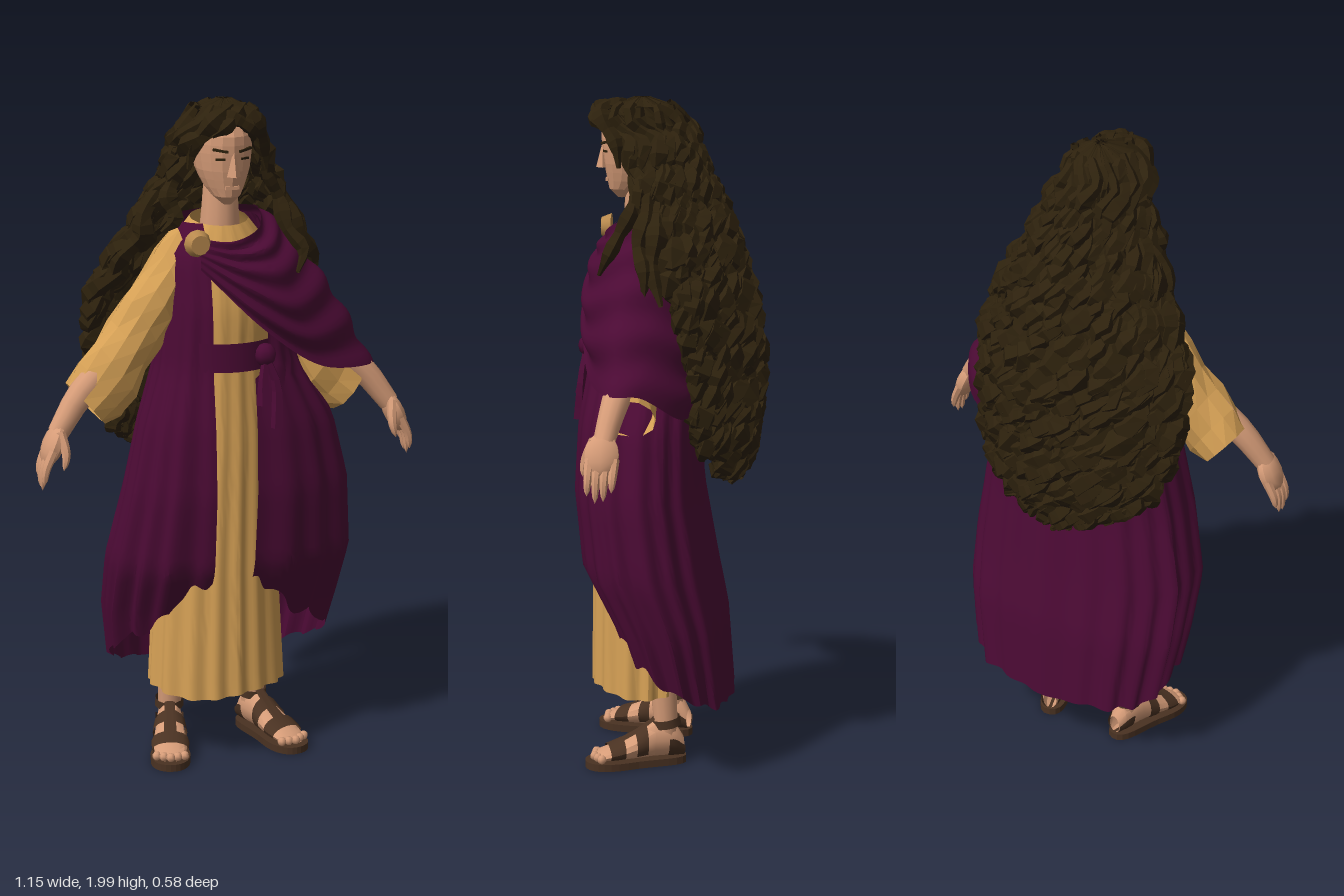
import * as THREE from 'three';
import { mergeGeometries, toCreasedNormals } from 'three/addons/utils/BufferGeometryUtils.js';

const V = (x, y, z) => new THREE.Vector3(x, y, z);
const vecs = (list) => list.map((p) => V(...p));
const { sin, cos, PI, abs, pow, sign, min, max } = Math;

function seeded(seed) {
  return () => ((seed = (seed * 16807) % 2147483647) / 2147483647);
}

// Linear lookup in a table of rows sorted by their first column
function rowAt(rows, k) {
  let i = 0;
  while (i < rows.length - 2 && k > rows[i + 1][0]) i++;
  const a = rows[i], b = rows[i + 1];
  const t = min(1, max(0, (k - a[0]) / (b[0] - a[0])));
  return a.map((v, j) => v + (b[j] - v) * t);
}

// Grid surface from a rule, optionally pushed along its normals to make folds
function sheet(fn, nu, nv, fold) {
  const pos = [], idx = [];
  for (let j = 0; j <= nv; j++) for (let i = 0; i <= nu; i++) pos.push(...fn(i / nu, j / nv).toArray());
  for (let j = 0; j < nv; j++) for (let i = 0; i < nu; i++) {
    const a = j * (nu + 1) + i, b = a + nu + 1;
    idx.push(a, b, a + 1, b, b + 1, a + 1);
  }
  const g = new THREE.BufferGeometry();
  g.setAttribute('position', new THREE.Float32BufferAttribute(pos, 3));
  g.setIndex(idx);
  g.computeVertexNormals();
  if (fold) {
    const p = g.attributes.position, n = g.attributes.normal;
    for (let k = 0; k < p.count; k++) {
      const d = fold((k % (nu + 1)) / nu, Math.floor(k / (nu + 1)) / nv);
      p.setXYZ(k, p.getX(k) + n.getX(k) * d, p.getY(k) + n.getY(k) * d, p.getZ(k) + n.getZ(k) * d);
    }
  }
  return g;
}

// Tube of varying radius through points
function tube(points, radius, n = 10, sides = 8) {
  const curve = new THREE.CatmullRomCurve3(points);
  const pts = curve.getSpacedPoints(n), f = curve.computeFrenetFrames(n);
  return sheet((u, v) => {
    const i = Math.round(v * n), a = -u * 2 * PI, r = radius(v);
    return pts[i].clone().addScaledVector(f.normals[i], r * cos(a)).addScaledVector(f.binormals[i], r * sin(a));
  }, sides, n);
}

function flat(g) {
  const out = g.index ? g.toNonIndexed() : g;
  out.computeVertexNormals();
  return out;
}
const smooth = (g) => toCreasedNormals(g, 0.6);
const tip = (r) => (t) => r * Math.sqrt(max(0, 1 - pow(t, 4))) * (1 - 0.25 * t);

export function createModel() {
  const model = new THREE.Group();
  model.name = 'robedFigure';
  const mat = (name, color) => Object.assign(new THREE.MeshStandardMaterial({ color, side: THREE.DoubleSide }), { name });
  const skin = mat('skin', 0xd69c78), tan = mat('ochreCloth', 0xd5a055), purple = mat('purpleCloth', 0x4b0a34);
  const hairMat = mat('darkHair', 0x2d210d), gold = mat('gold', 0xb98a4e), leather = mat('leather', 0x4a3222);
  const add = (name, g, m, parent = model) => {
    const mesh = new THREE.Mesh(g, m);
    mesh.name = name;
    parent.add(mesh);
    return mesh;
  };

  // Head: y, half width, back z, front z
  const headRows = [[1.695, 0.012, 0.13, 0.155], [1.71, 0.034, 0.1, 0.178], [1.75, 0.06, 0.03, 0.186], [1.79, 0.076, 0, 0.194],
    [1.84, 0.084, -0.02, 0.2], [1.89, 0.084, -0.02, 0.204], [1.94, 0.066, 0, 0.18], [1.97, 0.02, 0.06, 0.12]];
  add('head', flat(sheet((u, v) => {
    const [y, rx, zb, zf] = rowAt(headRows, 1.695 + v * 0.275), a = u * 2 * PI;
    return V(rx * sin(a), y, (zb + zf) / 2 + (zf - zb) / 2 * cos(a));
  }, 16, 11)), skin);
  add('nose', flat(new THREE.ConeGeometry(0.021, 0.08, 4, 1)), skin).position.set(0, 1.822, 0.198);
  add('mouth', new THREE.BoxGeometry(0.042, 0.01, 0.008), skin).position.set(0, 1.748, 0.185);
  for (const s of [-1, 1]) {
    const brow = add('brow', new THREE.BoxGeometry(0.045, 0.007, 0.009), hairMat);
    brow.position.set(s * 0.037, 1.857, 0.19);
    brow.rotation.set(0, s * 0.4, s * 0.15);
    const eye = add('eye', new THREE.BoxGeometry(0.028, 0.006, 0.006), hairMat);
    eye.position.set(s * 0.036, 1.832, 0.188);
    eye.rotation.y = s * 0.4;
  }
  add('neck', smooth(tube(vecs([[0, 1.56, 0.075], [0, 1.66, 0.08], [0, 1.76, 0.08]]), (t) => 0.064 - 0.016 * t, 6, 12)), skin);

  // Tunic: y, centre x, half width, centre z, half depth
  const tunicRows = [[0.21, -0.01, 0.205, 0.075, 0.16], [0.6, -0.01, 0.185, 0.07, 0.16], [1, 0, 0.165, 0.07, 0.15],
    [1.27, 0, 0.145, 0.07, 0.138], [1.4, 0, 0.16, 0.07, 0.145], [1.55, 0, 0.15, 0.065, 0.125],
    [1.61, 0, 0.118, 0.065, 0.1], [1.645, 0, 0.085, 0.07, 0.08]];
  add('tunic', smooth(sheet((u, v) => {
    const a = u * 2 * PI, y0 = 0.215 + v * 1.43;
    const [, cx, rx, cz, rz] = rowAt(tunicRows, y0);
    const k = 1 + (0.008 + 0.03 * (1 - v)) * sin(a * 16 + sin(a * 3));
    const y = y0 + 0.008 * sin(3 * a) * (1 - v) - 0.012 * cos(a) * pow(v, 8);
    return V(cx + rx * k * sin(a), y, cz + rz * k * cos(a));
  }, 128, 26)), tan);

  // Cloak hanging from the shoulders, open at the front; below the knee it draws back around the tunic
  const cloakRows = [[0.2, 0.03, 0.325, -0.06, 0.135], [0.45, 0.035, 0.365, -0.008, 0.168], [0.62, 0.04, 0.372, 0.052, 0.195],
    [0.85, 0.052, 0.338, 0.083, 0.187], [1.05, 0.048, 0.292, 0.083, 0.178], [1.22, 0.02, 0.21, 0.07, 0.167],
    [1.4, 0, 0.175, 0.07, 0.16], [1.55, 0, 0.165, 0.065, 0.135], [1.64, 0, 0.12, 0.05, 0.095]];
  const hemRows = [[0, 0.2], [0.3, 0.225], [0.5, 0.28], [0.7, 0.37], [0.85, 0.43], [1, 0.55]];
  const soft = (s) => sign(s) * pow(abs(s), 0.85);
  add('cloak', smooth(sheet((u, v) => {
    const w = 2 * u - 1;
    const hem = rowAt(hemRows, abs(w))[1] + 0.024 * abs(w) * sin(w * 42);
    const y = 1.64 + (hem - 1.64) * v;
    const [, cx, rx, cz, rz] = rowAt(cloakRows, y);
    const edge = w < 0 ? 0.07 + cx : max(0, (y > 1.2 ? 0.1 : 0.055) - cx);
    const a = w * (PI - Math.asin(pow(min(0.9, edge / rx), 1 / 0.85)));
    const k = 1 + (0.008 + 0.036 * v) * (0.7 * sin(w * 56) + 0.45 * sin(w * 29 + 1));
    return V(cx + rx * k * soft(sin(a)), y, cz - rz * k * soft(cos(a)));
  }, 150, 30)), purple);

  // Mantle gathered at the brooch, crossing the chest and covering the left arm and the back
  const guides = [
    [[-0.11, 1.61, 0.17], [0, 1.59, 0.185], [0.09, 1.62, 0.155], [0.12, 1.67, 0.07], [0.11, 1.67, 0.02], [0.06, 1.66, -0.03], [-0.1, 1.64, -0.04]],
    [[-0.105, 1.58, 0.19], [0.02, 1.54, 0.22], [0.14, 1.53, 0.2], [0.22, 1.57, 0.09], [0.21, 1.57, 0.02], [0.15, 1.5, -0.07], [-0.12, 1.5, -0.08]],
    [[-0.1, 1.55, 0.2], [0.05, 1.45, 0.243], [0.2, 1.37, 0.23], [0.345, 1.4, 0.12], [0.34, 1.38, 0.02], [0.24, 1.3, -0.09], [-0.1, 1.35, -0.09]],
    [[-0.1, 1.52, 0.205], [0.08, 1.34, 0.247], [0.27, 1.21, 0.21], [0.465, 1.18, 0.125], [0.46, 1.18, 0.05], [0.36, 1.1, -0.07], [-0.05, 1.15, -0.1]],
  ].map((g) => new THREE.CatmullRomCurve3(vecs(g)));
  add('mantle', smooth(sheet((u, v) => new THREE.CatmullRomCurve3(guides.map((g) => g.getPoint(u))).getPoint(v),
    48, 36, (u, v) => 0.008 * sin(v * 30 + u * 7) * sin(PI * min(1, u * 4 + 0.1) / 2))), purple);

  // Brooch, belt and its knot
  const disc = add('brooch', new THREE.CylinderGeometry(0.028, 0.04, 0.03, 12), gold);
  disc.rotation.x = PI / 2;
  disc.position.set(-0.105, 1.595, 0.2);
  const belt = add('belt', smooth(sheet((u, v) => V(0.175 * sin(u * 2 * PI), 1.222 + 0.085 * v, 0.07 + 0.175 * cos(u * 2 * PI)), 40, 4)), purple);
  add('beltKnot', new THREE.SphereGeometry(0.034, 8, 6), purple, belt).position.set(0.085, 1.265, 0.232);
  for (const [x, y] of [[0.075, 1.12], [0.115, 1.05]]) {
    add('beltTail', flat(tube(vecs([[0.085, 1.26, 0.24], [x, 1.18, 0.25], [x, y, 0.258]]), (t) => 0.01 + 0.012 * t, 6, 5)), purple, belt);
  }

  // Sleeves and arms, built on the right (-x) and mirrored
  const sleeveRows = [[0, -0.13, 1.63, -0.1, 1.42, 0.06, 0.08], [0.28, -0.23, 1.5, -0.15, 1.33, 0.065, 0.08],
    [0.58, -0.335, 1.36, -0.23, 1.2, 0.075, 0.08], [0.8, -0.41, 1.27, -0.29, 1.09, 0.085, 0.083], [1, -0.47, 1.19, -0.36, 1.06, 0.09, 0.075]];
  for (const s of [1, -1]) {
    const arm = new THREE.Group();
    arm.name = s > 0 ? 'rightArm' : 'leftArm';
    model.add(arm);
    const put = (name, g, m) => add(name, s < 0 ? mirrored(g) : g, m, arm);
    const sleeve = put('sleeve', flat(sheet((u, v) => {
      const [, ux, uy, lx, ly, cz, dz] = rowAt(sleeveRows, v), a = u * 2 * PI;
      return V((ux + lx) / 2 + (ux - lx) / 2 * cos(a), (uy + ly) / 2 + (uy - ly) / 2 * cos(a), cz + dz * sin(a));
    }, 12, 7, (u, v) => 0.006 * sin(v * 17 + sin(u * 2 * PI) * 3))), tan);
    if (s < 0) sleeve.position.set(-0.025, -0.02, 0);
    put('forearm', smooth(tube(vecs([[-0.33, 1.25, 0.09], [-0.44, 1.16, 0.12], [-0.515, 1.06, 0.145]]), (t) => 0.05 - 0.019 * t, 6, 12)), skin);
    const palm = new THREE.SphereGeometry(1, 10, 8);
    palm.scale(0.03, 0.065, 0.05).rotateZ(-0.4).translate(-0.53, 1.03, 0.148);
    put('palm', smooth(palm), skin);
    for (let i = 0; i < 4; i++) {
      const z = 0.112 + i * 0.023, drop = [0.93, 0.905, 0.9, 0.92][i];
      put('finger', smooth(tube(vecs([[-0.537, 1.02, z], [-0.562, 0.965, z + 0.004], [-0.568, drop, z + 0.006]]), tip(0.015), 7, 7)), skin);
    }
    put('thumb', smooth(tube(vecs([[-0.515, 1.07, 0.17], [-0.505, 1.01, 0.198], [-0.515, 0.965, 0.205]]), tip(0.016), 7, 7)), skin);
  }

  // Legs and sandalled feet: z, half width, top height
  const footRows = [[-0.05, 0.022, 0.08], [-0.02, 0.036, 0.13], [0.04, 0.04, 0.135], [0.09, 0.046, 0.1], [0.15, 0.052, 0.07], [0.205, 0.046, 0.05], [0.225, 0.022, 0.035]];
  const footPoint = (a, z, out) => {
    const [, w, h] = rowAt(footRows, z);
    return V((w + out) * sin(a), 0.02 + (h + out - 0.02) * (0.5 + 0.5 * cos(a)), z);
  };
  const outline = new THREE.Shape();
  outline.moveTo(0, -0.06).bezierCurveTo(0.06, -0.06, 0.034, 0.04, 0.056, 0.13).bezierCurveTo(0.072, 0.21, 0.042, 0.25, 0, 0.25);
  outline.bezierCurveTo(-0.042, 0.25, -0.072, 0.21, -0.056, 0.13).bezierCurveTo(-0.034, 0.04, -0.06, -0.06, 0, -0.06);
  for (const s of [-1, 1]) {
    add('leg', smooth(tube(vecs([[s * 0.135, 0.07, 0], [s * 0.135, 0.2, 0.008], [s * 0.12, 0.6, 0.04]]), (t) => 0.034 + 0.018 * t, 8, 12)), skin);
    const foot = new THREE.Group();
    foot.name = s < 0 ? 'rightFoot' : 'leftFoot';
    foot.position.x = s * 0.135;
    foot.rotation.y = s * 0.3;
    model.add(foot);
    const base = new THREE.ExtrudeGeometry(outline, { depth: 0.022, bevelEnabled: false, curveSegments: 8 });
    add('sole', base.rotateX(PI / 2).translate(0, 0.022, 0), leather, foot);
    add('foot', smooth(sheet((u, v) => footPoint(u * 2 * PI, -0.05 + 0.275 * v, 0), 12, 12)), skin, foot);
    for (let i = 0; i < 5; i++) {
      const toe = add('toe', new THREE.SphereGeometry(0.014, 7, 5), skin, foot);
      toe.position.set((i - 2) * 0.021, 0.034, 0.222 - abs(i - 2) * 0.007);
    }
    // Straps: two across the foot, one along the instep, the heel cup and the ankle band
    for (const [z0, z1, a0, a1] of [[0.135, 0.18, -2.3, 2.3], [0.065, 0.1, -2.3, 2.3], [0.04, 0.15, -0.35, 0.35], [-0.052, 0, 1.5, 2 * PI - 1.5]]) {
      add('strap', smooth(sheet((u, v) => footPoint(a0 + (a1 - a0) * u, z0 + (z1 - z0) * v, 0.006), 12, 4)), leather, foot);
    }
    const ankle = new THREE.CylinderGeometry(0.043, 0.045, 0.026, 14, 1, true);
    add('ankleStrap', ankle.rotateX(0.15).translate(0, 0.128, 0.002), leather, foot);
  }

  // Hair volume: y, centre x, half width, centre z, half depth, half sweep angle
  const hairRows = [[0.86, 0, 0.17, -0.1, 0.09, 1.5], [1, 0, 0.26, -0.1, 0.13, 1.6], [1.2, -0.02, 0.3, -0.1, 0.15, 1.7],
    [1.4, -0.02, 0.318, -0.07, 0.15, 1.75], [1.55, 0, 0.26, -0.03, 0.15, 1.8], [1.65, 0, 0.2, 0, 0.15, 1.9], [1.75, 0.01, 0.155, 0.04, 0.145, 1.95],
    [1.85, 0, 0.12, 0.06, 0.13, 2], [1.92, -0.005, 0.095, 0.08, 0.125, 2.5], [1.965, 0.005, 0.075, 0.08, 0.1, 3.1], [1.992, 0.015, 0.01, 0.08, 0.01, 3.14]];
  // Round at the head, narrowing to a ridge down the middle of the back
  const hairPoint = (w, y, out) => {
    const [, cx, rx, cz, rz, sweep] = rowAt(hairRows, y);
    const c = cos(w * sweep), ridge = 1 + 0.7 * min(1, max(0, (1.75 - y) * 4));
    return V(cx + (rx + out) * sin(w * sweep), y, cz - (rz + out) * (c > 0 ? pow(c, ridge) : c));
  };
  const bottom = (w) => 0.87 + 0.17 * w * w;
  const locks = [sheet((u, v) => {
    const w = 2 * u - 1;
    return hairPoint(w, 1.99 + (bottom(w) + 0.03 - 1.99) * v, 0.008 * sin(w * 31 + 4 * sin(v * 30)));
  }, 50, 40)];

  // Overlapping tiers of chunky wavy locks
  const rnd = seeded(77), curl = (r) => (t) => r * pow(sin(PI * (0.1 + 0.87 * t)), 0.6) * (1 + 0.2 * sin(t * 19));
  for (let k = 0; k < 12; k++) for (let j = 0; j < 15; j++) {
    const w = max(-1, min(1, -1 + 2 * (j + 0.5 + (rnd() - 0.5) * 0.8) / 15));
    const y0 = 1.975 - k * 0.085 - rnd() * (k ? 0.07 : 0.01), phase = rnd() * 6;
    const y1 = max(y0 - 0.24 - 0.14 * rnd(), bottom(w) - 0.03 * rnd());
    if (y0 - y1 < 0.09) continue;
    const size = min(1, 0.7 + k * 0.08), pts = [];
    for (let i = 0; i <= 10; i++) {
      const y = y0 + (y1 - y0) * i / 10, q = phase + (y0 - y) * 58;
      pts.push(hairPoint(w + 0.06 * sin(q), y, 0.006 + 0.018 * size * cos(q)));
    }
    locks.push(tube(pts, curl(size * (0.027 + 0.012 * rnd())), 16, 5));
  }
  // Curls over the forehead, and locks falling forward over the shoulders
  for (const [r, p] of [
    [0.026, [[0.02, 1.97, 0.13], [-0.04, 1.955, 0.195], [-0.075, 1.92, 0.185], [-0.1, 1.87, 0.15], [-0.115, 1.8, 0.14]]],
    [0.026, [[0.01, 1.975, 0.13], [0.05, 1.955, 0.195], [0.08, 1.915, 0.185], [0.105, 1.86, 0.15], [0.12, 1.79, 0.14]]],
    [0.022, [[-0.04, 1.97, 0.15], [0, 1.95, 0.21], [0.04, 1.925, 0.218], [0.075, 1.9, 0.195]]],
    [0.022, [[0.05, 1.975, 0.14], [0.01, 1.96, 0.2], [-0.025, 1.93, 0.218], [-0.065, 1.9, 0.2]]],
    [0.024, [[0.13, 1.78, 0.1], [0.18, 1.69, 0.09], [0.19, 1.61, 0.13], [0.23, 1.55, 0.16], [0.2, 1.49, 0.19]]],
    [0.028, [[0.16, 1.76, 0.05], [0.22, 1.66, 0.05], [0.25, 1.58, 0.07], [0.3, 1.51, 0.05], [0.31, 1.43, 0.05]]],
    [0.03, [[0.16, 1.72, 0.02], [0.26, 1.6, 0.02], [0.28, 1.52, 0.03], [0.33, 1.42, 0]]],
    [0.026, [[-0.13, 1.8, 0.1], [-0.165, 1.72, 0.11], [-0.15, 1.66, 0.13], [-0.19, 1.62, 0.12]]],
    [0.03, [[-0.16, 1.74, 0.04], [-0.22, 1.66, 0.05], [-0.22, 1.6, 0.04], [-0.28, 1.53, 0.01], [-0.3, 1.45, -0.02]]],
  ]) locks.push(tube(vecs(p), curl(r), 14, 5));
  add('hair', mergeGeometries(locks.map(flat)), hairMat);
  return model;
}

// Copy flipped across x with its face order restored
function mirrored(g) {
  const p = g.attributes.position, n = g.attributes.normal, pos = [], nor = [];
  for (let i = 0; i < p.count; i += 3) for (const k of [i, i + 2, i + 1]) {
    pos.push(-p.getX(k), p.getY(k), p.getZ(k));
    nor.push(-n.getX(k), n.getY(k), n.getZ(k));
  }
  const m = new THREE.BufferGeometry();
  m.setAttribute('position', new THREE.Float32BufferAttribute(pos, 3));
  m.setAttribute('normal', new THREE.Float32BufferAttribute(nor, 3));
  return m;
}
